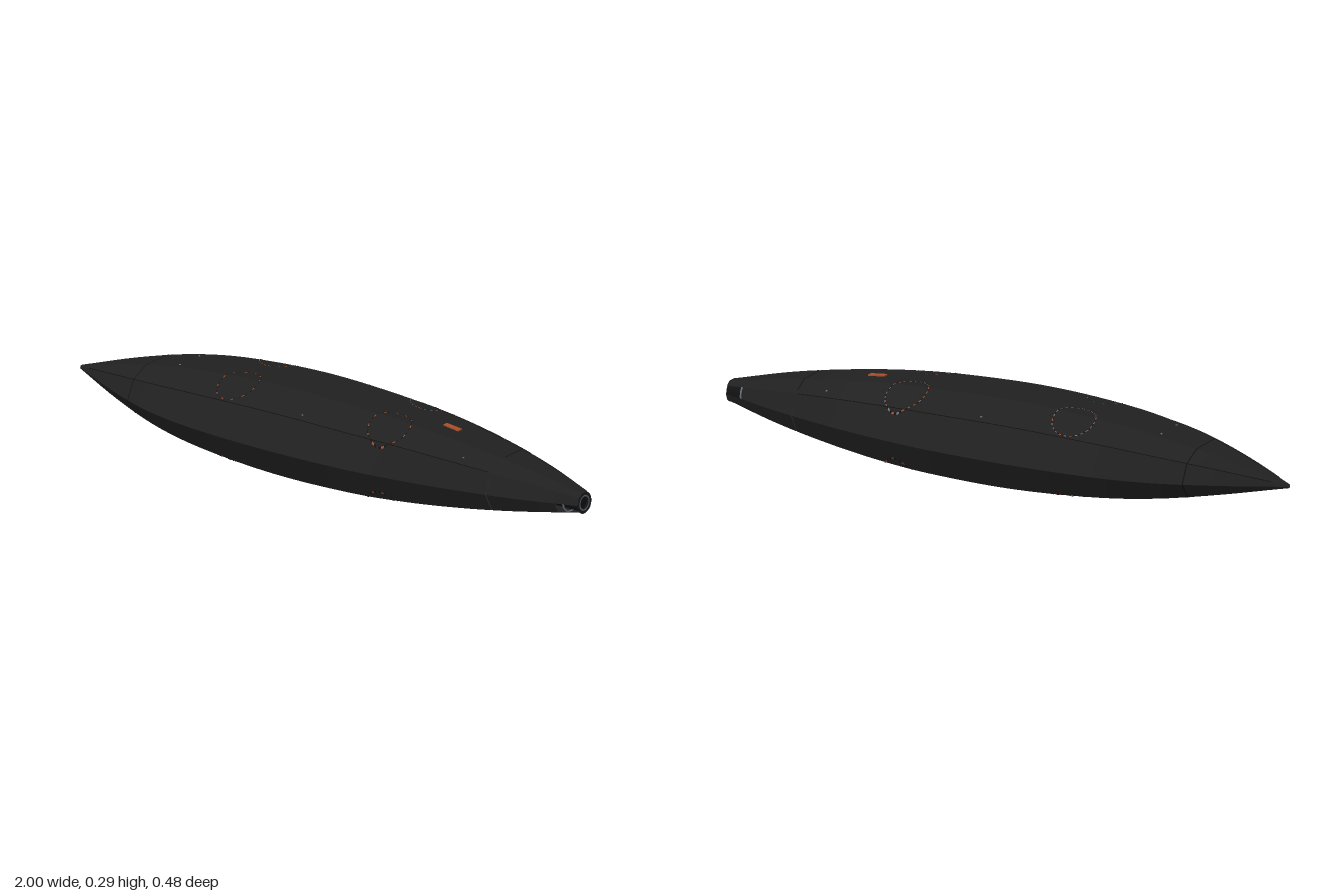
import * as THREE from 'three';

const mat = (name, color) => {
  const m = new THREE.MeshStandardMaterial({ color, side: THREE.DoubleSide });
  m.name = name;
  return m;
};

// Hull stations: x, half width, height above and depth below the axis
const AXIS = 0.13;
const STATIONS = [
  [-1, 0.008, 0.006, 0.006], [-0.8, 0.108, 0.066, 0.047], [-0.6, 0.186, 0.113, 0.083],
  [-0.4, 0.225, 0.142, 0.108], [-0.1, 0.24, 0.16, 0.128], [0.2, 0.229, 0.154, 0.126],
  [0.4, 0.203, 0.14, 0.114], [0.6, 0.163, 0.115, 0.093], [0.8, 0.109, 0.081, 0.065],
  [1, 0.037, 0.035, 0.03],
];
// Ten-sided section as (z, y) fractions
const SECTION = [[1, 0], [0.79, 0.67], [0.375, 1], [-0.375, 1], [-0.79, 0.67],
  [-1, 0], [-0.75, -0.78], [-0.31, -1], [0.31, -1], [0.75, -0.78]];

// Smooth interpolation of the stations
function sizeAt(x) {
  let i = 0;
  while (i < STATIONS.length - 2 && x > STATIONS[i + 1][0]) i++;
  const a = STATIONS[i], b = STATIONS[i + 1];
  const p = STATIONS[Math.max(i - 1, 0)], q = STATIONS[Math.min(i + 2, STATIONS.length - 1)];
  const h = b[0] - a[0], t = (x - a[0]) / h;
  return [1, 2, 3].map((k) => {
    const ma = (b[k] - p[k]) / (b[0] - p[0]) * h, mb = (q[k] - a[k]) / (q[0] - a[0]) * h;
    return (2 * t ** 3 - 3 * t * t + 1) * a[k] + (t ** 3 - 2 * t * t + t) * ma
      + (3 * t * t - 2 * t ** 3) * b[k] + (t ** 3 - t * t) * mb;
  });
}

function corner(x, j, grow = 0) {
  const [w, up, down] = sizeAt(x), [z, y] = SECTION[j % 10];
  return [x, AXIS + y * ((y > 0 ? up : down) + grow), z * (w + grow)];
}

// Hull height at (x, z) on the upper (side 1) or lower (side -1) surface
function surfaceY(x, z, side) {
  const [w, up, down] = sizeAt(x);
  const f = Math.min(Math.abs(z) / w, 1);
  const line = side > 0 ? [[0, 1], [0.375, 1], [0.79, 0.67], [1, 0]] : [[0, 1], [0.31, 1], [0.75, 0.78], [1, 0]];
  let i = 0;
  while (i < 2 && f > line[i + 1][0]) i++;
  const [a, b] = [line[i], line[i + 1]];
  const y = a[1] + (b[1] - a[1]) * (f - a[0]) / (b[0] - a[0]);
  return AXIS + side * (y * (side > 0 ? up : down) + 0.002);
}

function geometry(positions, index) {
  const g = new THREE.BufferGeometry();
  g.setAttribute('position', new THREE.Float32BufferAttribute(positions, 3));
  g.setIndex(index);
  g.computeVertexNormals();
  return g;
}

// Skin between two x positions: crisp chines, smooth lengthwise
function skin(x0, x1, steps, skip = [], grow = 0) {
  const pos = [], idx = [];
  for (let j = 0; j < 10; j++) {
    if (skip.includes(j)) continue;
    const base = pos.length / 3;
    for (let i = 0; i <= steps; i++) {
      const x = x0 + (x1 - x0) * i / steps;
      pos.push(...corner(x, j, grow), ...corner(x, j + 1, grow));
      if (i < steps) {
        const a = base + i * 2;
        idx.push(a, a + 2, a + 3, a, a + 3, a + 1);
      }
    }
  }
  return geometry(pos, idx);
}

// Dashes of a flat ring laid over the hull
function hatchRing(cx, cz, side, keep) {
  const pos = [], idx = [], n = 48;
  for (let i = 0; i < n; i++) {
    if (!keep(i)) continue;
    const base = pos.length / 3;
    for (const k of [i, i + 1]) {
      for (const r of [0.068, 0.071]) {
        const a = k / n * Math.PI * 2;
        const x = cx + r * Math.cos(a), z = cz + r * Math.sin(a);
        pos.push(x, surfaceY(x, z, side), z);
      }
    }
    const q = [0, 2, 3, 0, 3, 1].map((v) => base + v);
    idx.push(...(side > 0 ? q : q.reverse()));
  }
  return geometry(pos, idx);
}

export function createModel() {
  const group = new THREE.Group();
  const hullMat = mat('hull black', 0x202020);
  const seamMat = mat('seam black', 0x121212);
  const greyMat = mat('steel grey', 0x6a7682);
  const orangeMat = mat('marking orange', 0xa84e28);
  const add = (name, geo, material, x = 0, y = 0, z = 0) => {
    const m = new THREE.Mesh(geo, material);
    m.name = name;
    m.position.set(x, y, z);
    group.add(m);
    return m;
  };

  // Hull sections with a narrow gap before the tail
  add('mainHull', skin(-1, 0.708, 44), hullMat);
  add('tailHull', skin(0.713, 0.93, 8), hullMat);
  add('tailEnd', skin(0.93, 1, 4, [4, 9]), hullMat);
  add('noseSeam', skin(-0.702, -0.698, 1, [], 0.0008), seamMat);

  // Fine seam along each upper chine
  for (const j of [1, 4]) {
    const points = [];
    for (let i = 0; i <= 30; i++) points.push(new THREE.Vector3(...corner(-0.95 + i * 0.055, j)));
    add('chineSeam', new THREE.TubeGeometry(new THREE.CatmullRomCurve3(points), 60, 0.0014, 4), seamMat);
  }

  // Tail tube, end rim and collar
  const tube = add('tailTube', new THREE.CylinderGeometry(0.03, 0.03, 0.1, 24, 1, true), seamMat, 0.949, AXIS);
  tube.rotation.z = Math.PI / 2;
  const rings = [
    ['tailRim', new THREE.RingGeometry(0.025, 0.036, 24), hullMat, 0.999],
    ['nozzleRing', new THREE.RingGeometry(0.021, 0.026, 24), greyMat, 0.9997],
    ['nozzleCore', new THREE.CircleGeometry(0.022, 24), seamMat, 0.99],
    ['tailCollar', new THREE.TorusGeometry(0.04, 0.003, 6, 24), greyMat, 0.945],
  ];
  for (const [name, geo, material, x] of rings) add(name, geo, material, x, AXIS).rotation.y = Math.PI / 2;

  // Round hatch outlines above and below
  for (const side of [1, -1]) for (const x of [-0.29, 0.31]) for (const z of [-0.11, 0.11]) {
    add('hatchSeam', hatchRing(x, z, side, (i) => i % 2 === 0), seamMat);
    add('hatchOrangeDashes', hatchRing(x, z, side, (i) => i % 4 === 1), orangeMat);
    if (side > 0 && z < 0) add('hatchGreyDashes', hatchRing(x, z, side, (i) => i % 4 === 3), greyMat);
  }

  // Orange plate and small fasteners on the deck
  add('deckPlate', new THREE.BoxGeometry(0.06, 0.006, 0.018), orangeMat, 0.475, surfaceY(0.475, 0, 1) - 0.001)
    .rotation.z = -0.11;
  for (const [x, z] of [[-0.57, 0.05], [0.01, 0.17], [0.6, 0.105]]) {
    for (const s of [-1, 1]) {
      add('fastener', new THREE.BoxGeometry(0.005, 0.003, 0.005), greyMat, x, surfaceY(x, z, 1) - 0.001, s * z);
    }
  }
  return group;
}
